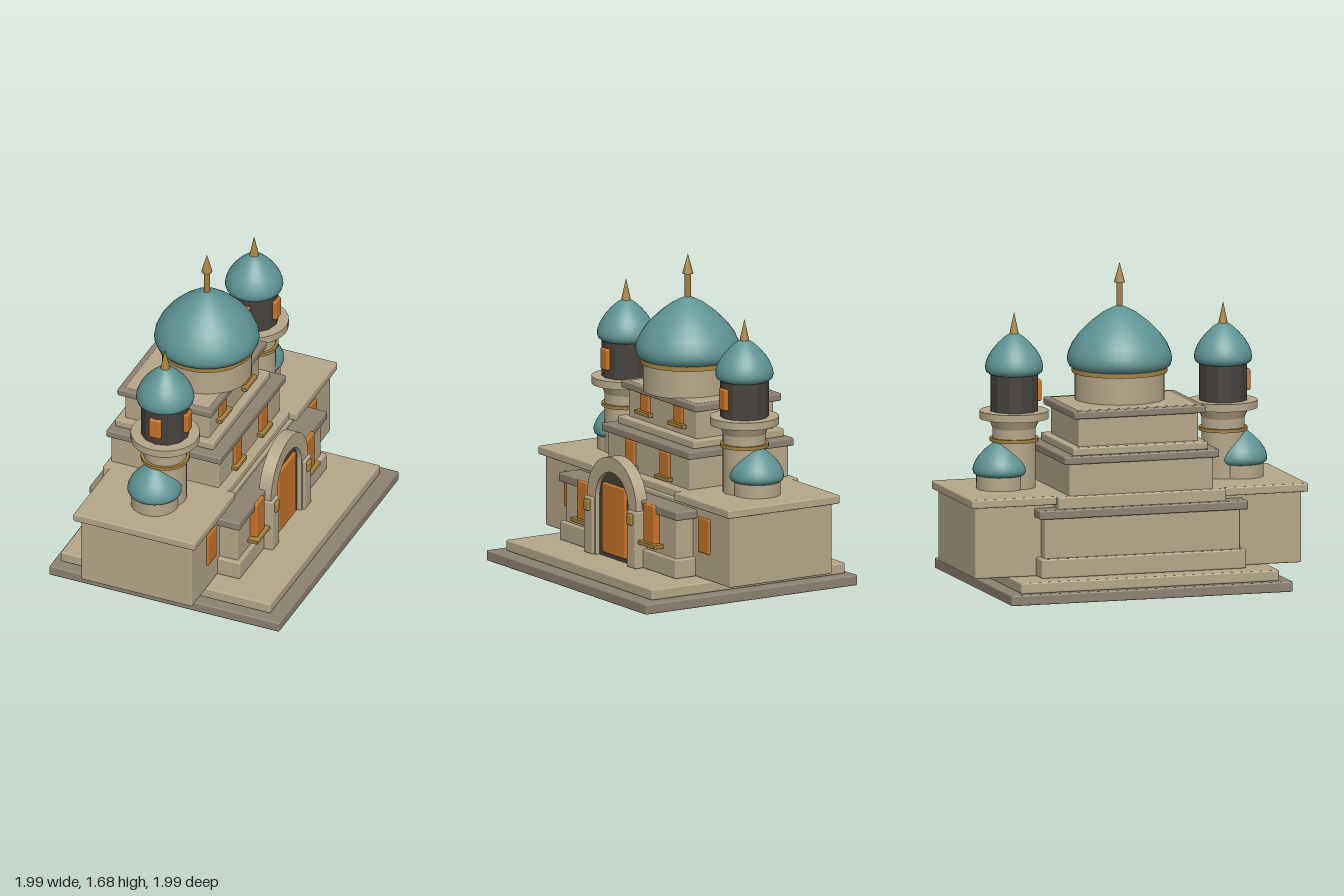
import * as THREE from 'three';
import { RoundedBoxGeometry } from 'three/addons/geometries/RoundedBoxGeometry.js';

const mat = (name, color, extra = {}) => {
  const m = new THREE.MeshStandardMaterial({ color, ...extra });
  m.name = name;
  return m;
};

export function createModel() {
  const stone = mat('light stone', 0xb5a689);
  const trim = mat('dark stone', 0x8e8271);
  const teal = mat('teal roof', 0x5f9494);
  const gold = mat('old gold', 0xa5823f);
  const amber = mat('amber glass', 0xc87529);
  const dark = mat('dark interior', 0x46413b);

  const model = new THREE.Group();
  model.name = 'domedHall';
  const hall = new THREE.Group(); // the building stands diagonally on its frame
  hall.name = 'hall';
  hall.rotation.y = Math.PI / 4;
  model.add(hall);

  const add = (name, geo, material, x = 0, y = 0, z = 0, parent = hall) => {
    const mesh = new THREE.Mesh(geo, material);
    mesh.name = name;
    mesh.position.set(x, y, z);
    parent.add(mesh);
    return mesh;
  };
  // softly bevelled block given by its ranges
  const block = (name, material, x0, x1, y0, y1, z0, z1, parent = hall, r = 0.008) => {
    const w = x1 - x0, h = y1 - y0, d = z1 - z0;
    const geo = new RoundedBoxGeometry(w, h, d, 2, Math.min(r, w / 4, h / 4, d / 4));
    return add(name, geo, material, (x0 + x1) / 2, (y0 + y1) / 2, (z0 + z1) / 2, parent);
  };
  const tier = (name, material, half, y0, y1, z0, z1) => block(name, material, -half, half, y0, y1, z0, z1);
  const drum = (name, material, r0, r1, y0, y1, parent, seg = 32) =>
    add(name, new THREE.CylinderGeometry(r1, r0, y1 - y0, seg), material, 0, (y0 + y1) / 2, 0, parent);
  // dome profile: radius and height fractions
  const profile = [[0.86, 0], [0.96, 0.05], [1, 0.14], [0.98, 0.25], [0.9, 0.4], [0.76, 0.56],
    [0.55, 0.73], [0.33, 0.87], [0.15, 0.95], [0, 1]];
  const dome = (name, r, y0, y1, parent) => {
    const pts = profile.map(([a, b]) => new THREE.Vector2(a * r, b * (y1 - y0)));
    pts.unshift(new THREE.Vector2(0, 0));
    return add(name, new THREE.LatheGeometry(pts, 32), teal, 0, y0, 0, parent);
  };

  // stepped base
  tier('lowerStep', trim, 0.764, 0, 0.055, -0.65, 0.65);
  tier('upperStep', stone, 0.7, 0.055, 0.112, -0.615, 0.572);

  // side wings
  tier('wingWalls', stone, 0.885, 0.112, 0.49, -0.415, 0.21);
  for (const s of [-1, 1]) {
    block('wingRoof', stone, s < 0 ? -0.913 : 0.39, s < 0 ? -0.39 : 0.913, 0.485, 0.53, -0.448, 0.238);
  }

  // central stacked tiers
  tier('hallPlinth', stone, 0.555, 0.112, 0.212, -0.51, 0.335);
  tier('hallWalls', stone, 0.53, 0.2, 0.43, -0.485, 0.312);
  tier('hallCornice', trim, 0.565, 0.42, 0.467, -0.512, 0.335);
  tier('middlePlinth', stone, 0.455, 0.46, 0.53, -0.485, 0.195);
  tier('middleWalls', stone, 0.39, 0.52, 0.71, -0.465, 0.143);
  tier('middleCornice', trim, 0.42, 0.695, 0.737, -0.48, 0.165);
  tier('upperPlinth', stone, 0.365, 0.735, 0.778, -0.455, 0.1);
  tier('upperWalls', stone, 0.325, 0.77, 0.967, -0.415, 0.058);
  block('upperCornice', trim, -0.357, 0.357, 0.925, 0.965, -0.445, 0.085);

  // front windows, with sills where wide enough
  const windows = [
    // x, y0, y1, face z, width, sill width
    [0.32, 0.26, 0.465, 0.35, 0.1, 0.17],
    [0.165, 0.56, 0.692, 0.158, 0.09, 0.13],
    [0.16, 0.83, 0.925, 0.07, 0.085, 0.14],
    [0.64, 0.25, 0.437, 0.22, 0.11, 0],
  ];
  for (const [x, y0, y1, z, w, sill] of windows) {
    for (const s of [-1, 1]) {
      block('window', amber, s * x - w / 2, s * x + w / 2, y0, y1, z - 0.045, z);
      if (sill) block('windowSill', gold, s * x - sill / 2, s * x + sill / 2, y0 - 0.017, y0 + 0.004, z - 0.045, z + 0.018, hall, 0.004);
    }
  }

  // entrance portal
  const portal = new THREE.Group();
  portal.name = 'portal';
  hall.add(portal);
  const archShape = (r) => {
    const s = new THREE.Shape();
    s.moveTo(-r, 0.112);
    s.lineTo(r, 0.112);
    s.lineTo(r, 0.42);
    s.absarc(0, 0.42, r, 0, Math.PI, false);
    s.closePath();
    return s;
  };
  const frame = new THREE.Shape();
  frame.moveTo(0.235, 0.112);
  frame.lineTo(0.235, 0.42);
  frame.absarc(0, 0.42, 0.235, 0, Math.PI, false);
  frame.lineTo(-0.235, 0.112);
  frame.lineTo(-0.155, 0.112);
  frame.lineTo(-0.155, 0.42);
  frame.absarc(0, 0.42, 0.155, Math.PI, 0, true);
  frame.lineTo(0.155, 0.112);
  frame.closePath();
  const extrude = (shape, depth) => new THREE.ExtrudeGeometry(shape, { depth, bevelEnabled: false, curveSegments: 20 });
  add('archFrame', extrude(frame, 0.07), stone, 0, 0, 0.3, portal);
  add('archRecess', extrude(archShape(0.157), 0.05), dark, 0, 0, 0.295, portal);
  block('door', amber, -0.11, 0.11, 0.135, 0.505, 0.33, 0.362, portal);
  for (const s of [-1, 1]) {
    block('portalPost', stone, s * 0.205 - 0.042, s * 0.205 + 0.042, 0.112, 0.412, 0.295, 0.385, portal);
    block('postLamp', gold, s * 0.205 - 0.022, s * 0.205 + 0.022, 0.34, 0.397, 0.37, 0.4, portal);
  }

  // great dome
  const great = new THREE.Group();
  great.name = 'greatDome';
  great.position.z = -0.097;
  hall.add(great);
  drum('domeDrum', stone, 0.233, 0.233, 0.96, 1.115, great, 40);
  drum('domeBand', gold, 0.247, 0.247, 1.108, 1.135, great, 40);
  dome('domeRoof', 0.273, 1.125, 1.458, great);
  drum('finialRod', gold, 0.016, 0.016, 1.44, 1.58, great, 12);
  drum('finialTip', gold, 0.029, 0, 1.575, 1.68, great, 12);

  // lantern towers and their small side domes
  for (const s of [-1, 1]) {
    const tower = new THREE.Group();
    tower.name = s < 0 ? 'rightTower' : 'leftTower';
    tower.position.set(s * 0.567, 0, -0.081);
    hall.add(tower);
    drum('towerShaft', stone, 0.112, 0.112, 0.52, 0.86, tower);
    drum('towerBand', gold, 0.127, 0.127, 0.772, 0.79, tower);
    drum('balconyBracket', stone, 0.112, 0.135, 0.84, 0.892, tower);
    drum('balcony', stone, 0.179, 0.179, 0.89, 0.93, tower);
    drum('lantern', dark, 0.126, 0.126, 0.93, 1.135, tower, 12).material.flatShading = true;
    for (const a of [0, -Math.PI / 2]) {
      const pivot = new THREE.Group();
      pivot.name = 'lanternWindow';
      pivot.rotation.y = a;
      tower.add(pivot);
      block('lanternPane', amber, -0.032, 0.032, 0.975, 1.087, 0.1, 0.14, pivot);
    }
    dome('towerDome', 0.151, 1.122, 1.343, tower);
    drum('towerSpike', gold, 0.025, 0, 1.33, 1.443, tower, 12);

    const side = new THREE.Group();
    side.name = 'sideDome';
    side.position.set(s * 0.651, 0, -0.103);
    hall.add(side);
    drum('sideDrum', stone, 0.123, 0.123, 0.52, 0.615, side);
    dome('sideRoof', 0.142, 0.6, 0.785, side);
  }
  return model;
}
